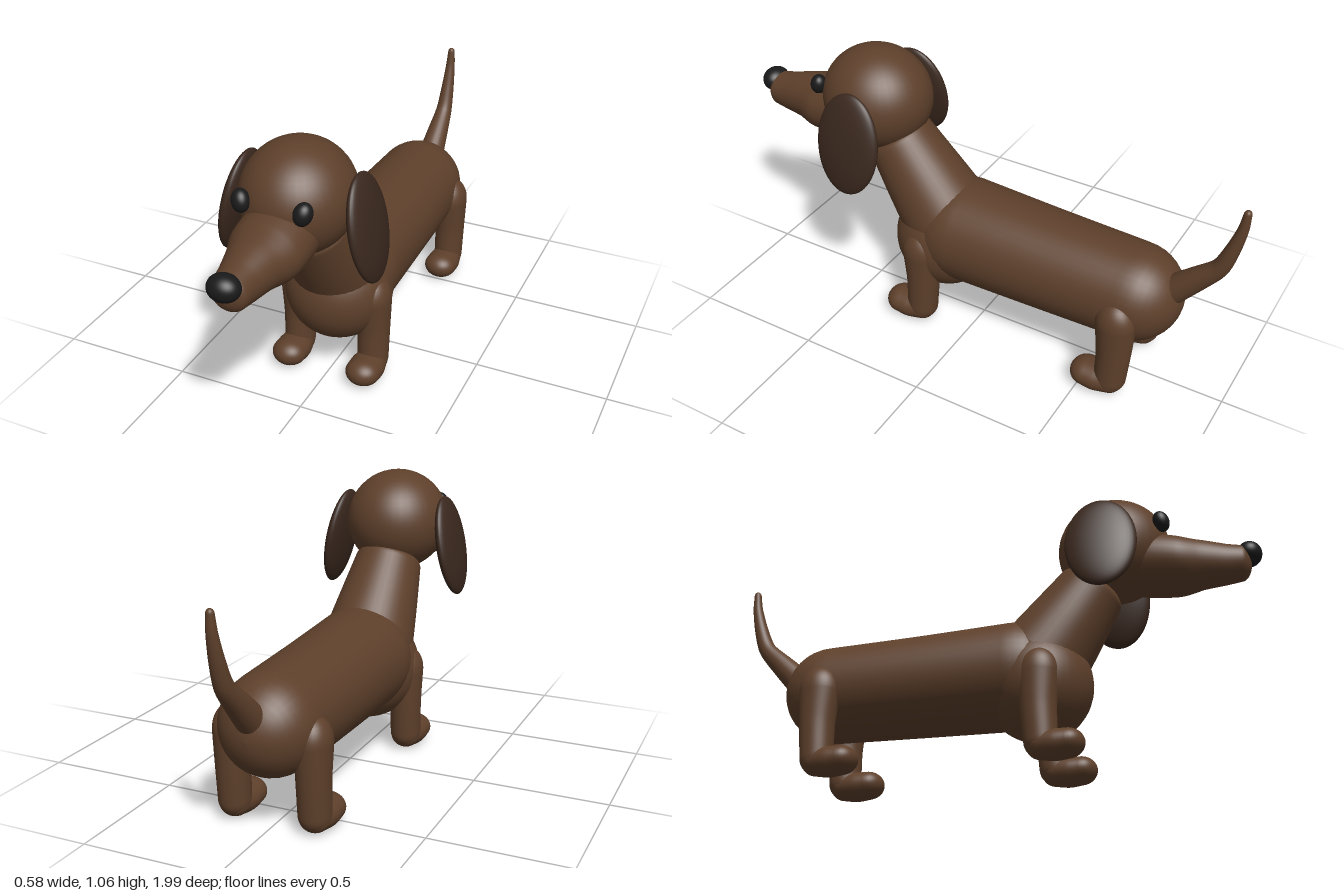
import * as THREE from 'three';

const brown = new THREE.MeshStandardMaterial({ color: 0x5e402b });
const darkBrown = new THREE.MeshStandardMaterial({ color: 0x3a281e });
const black = new THREE.MeshStandardMaterial({ color: 0x1a1a1a });

// Smooth sweep in the x = 0 plane through stations [z, y, radiusX, radiusN],
// closed at each end by a rounded cap of the given length.
function loft(stations, capStart, capEnd, sides = 40, steps = 30, capSteps = 10) {
  const path = new THREE.CatmullRomCurve3(stations.map(([z, y]) => new THREE.Vector3(0, y, z)), false, 'catmullrom', 0.4);
  const radii = new THREE.CatmullRomCurve3(stations.map(([, , a, b]) => new THREE.Vector3(a, b, 0)), false, 'catmullrom', 0.4);
  const rings = [];
  const addRing = (t, along, scale) => {
    const T = path.getTangent(t);
    const r = radii.getPoint(t).multiplyScalar(scale);
    rings.push({ c: path.getPoint(t).addScaledVector(T, along), T, r });
  };
  for (let i = capSteps; i > 0; i--) {
    const a = (i / capSteps) * Math.PI / 2;
    addRing(0, -capStart * Math.sin(a), Math.cos(a));
  }
  for (let i = 0; i <= steps; i++) addRing(i / steps, 0, 1);
  for (let i = 1; i <= capSteps; i++) {
    const a = (i / capSteps) * Math.PI / 2;
    addRing(1, capEnd * Math.sin(a), Math.cos(a));
  }
  const X = new THREE.Vector3(1, 0, 0);
  const pos = [], index = [];
  rings.forEach(({ c, T, r }, i) => {
    const N = T.clone().cross(X);
    for (let j = 0; j < sides; j++) {
      const a = (j / sides) * Math.PI * 2;
      const p = c.clone().addScaledVector(X, r.x * Math.cos(a)).addScaledVector(N, r.y * Math.sin(a));
      pos.push(p.x, p.y, p.z);
      if (i < rings.length - 1) {
        const k = (j + 1) % sides, A = i * sides, B = A + sides;
        index.push(A + j, A + k, B + j, A + k, B + k, B + j);
      }
    }
  });
  const geo = new THREE.BufferGeometry();
  geo.setAttribute('position', new THREE.Float32BufferAttribute(pos, 3));
  geo.setIndex(index);
  geo.computeVertexNormals();
  return geo;
}

export function createModel() {
  const dog = new THREE.Group();
  dog.name = 'dog';

  const add = (name, geo, mat, parent = dog) => {
    const mesh = new THREE.Mesh(geo, mat);
    mesh.name = name;
    parent.add(mesh);
    return mesh;
  };
  const ball = (name, mat, p, s, parent) => {
    const mesh = add(name, new THREE.SphereGeometry(1, 40, 28), mat, parent);
    mesh.position.set(...p);
    mesh.scale.set(...s);
    return mesh;
  };

  // Long barrel body, rounded at both ends, with a deep chest
  add('body', loft([[-0.62, 0.37, 0.18, 0.182], [-0.27, 0.375, 0.19, 0.19], [0.08, 0.383, 0.2, 0.2]], 0.185, 0.2), brown);
  ball('chest', brown, [0, 0.335, 0.16], [0.202, 0.205, 0.202]);

  // Neck leaning forward
  add('neck', loft([[0.17, 0.43, 0.175, 0.175], [0.27, 0.567, 0.153, 0.153], [0.365, 0.70, 0.13, 0.13]], 0.01, 0.05), brown);

  // Head, tapering snout and nose
  ball('head', brown, [0, 0.858, 0.46], [0.198, 0.198, 0.21]);
  add('snout', loft([
    [0.50, 0.79, 0.12, 0.105], [0.60, 0.783, 0.132, 0.115], [0.70, 0.768, 0.128, 0.108],
    [0.78, 0.765, 0.098, 0.092], [0.86, 0.758, 0.077, 0.078], [0.92, 0.756, 0.066, 0.068],
  ], 0.05, 0.04), brown);
  ball('nose', black, [0, 0.79, 0.953], [0.056, 0.046, 0.047]);

  // Tail curving upwards to a thin tip
  add('tail', loft([
    [-0.73, 0.40, 0.058, 0.058], [-0.84, 0.51, 0.044, 0.044], [-0.915, 0.59, 0.033, 0.033],
    [-0.95, 0.68, 0.026, 0.026], [-0.973, 0.77, 0.019, 0.019], [-0.98, 0.835, 0.014, 0.014],
  ], 0.02, 0.017, 24), brown);

  // Parts in mirrored pairs
  for (const [side, s] of [['left', 1], ['right', -1]]) {
    const eye = ball(side + 'Eye', black, [s * 0.11, 0.905, 0.648], [0.032, 0.04, 0.03]);
    eye.rotation.set(-0.2, s * 0.4, -s * 0.25);

    const ear = ball(side + 'Ear', darkBrown, [s * 0.237, 0.775, 0.436], [0.038, 0.195, 0.13]);
    ear.rotation.z = s * 0.19;

    // Leg with a rounded top and heel, and a paw pointing forward
    for (const [end, z] of [['Front', 0], ['Hind', -0.81]]) {
      const leg = new THREE.Group();
      leg.name = side + end + 'Leg';
      leg.position.set(s * 0.152, 0, z);
      dog.add(leg);
      add('shank', loft([[0.192, 0.07, 0.058, 0.06], [0.186, 0.2, 0.06, 0.065], [0.188, 0.33, 0.065, 0.076]], 0.06, 0.09), brown, leg);
      add('paw', loft([[0.19, 0.058, 0.056, 0.052], [0.24, 0.054, 0.066, 0.054], [0.285, 0.057, 0.066, 0.051]], 0.05, 0.06), brown, leg);
    }
  }
  return dog;
}
